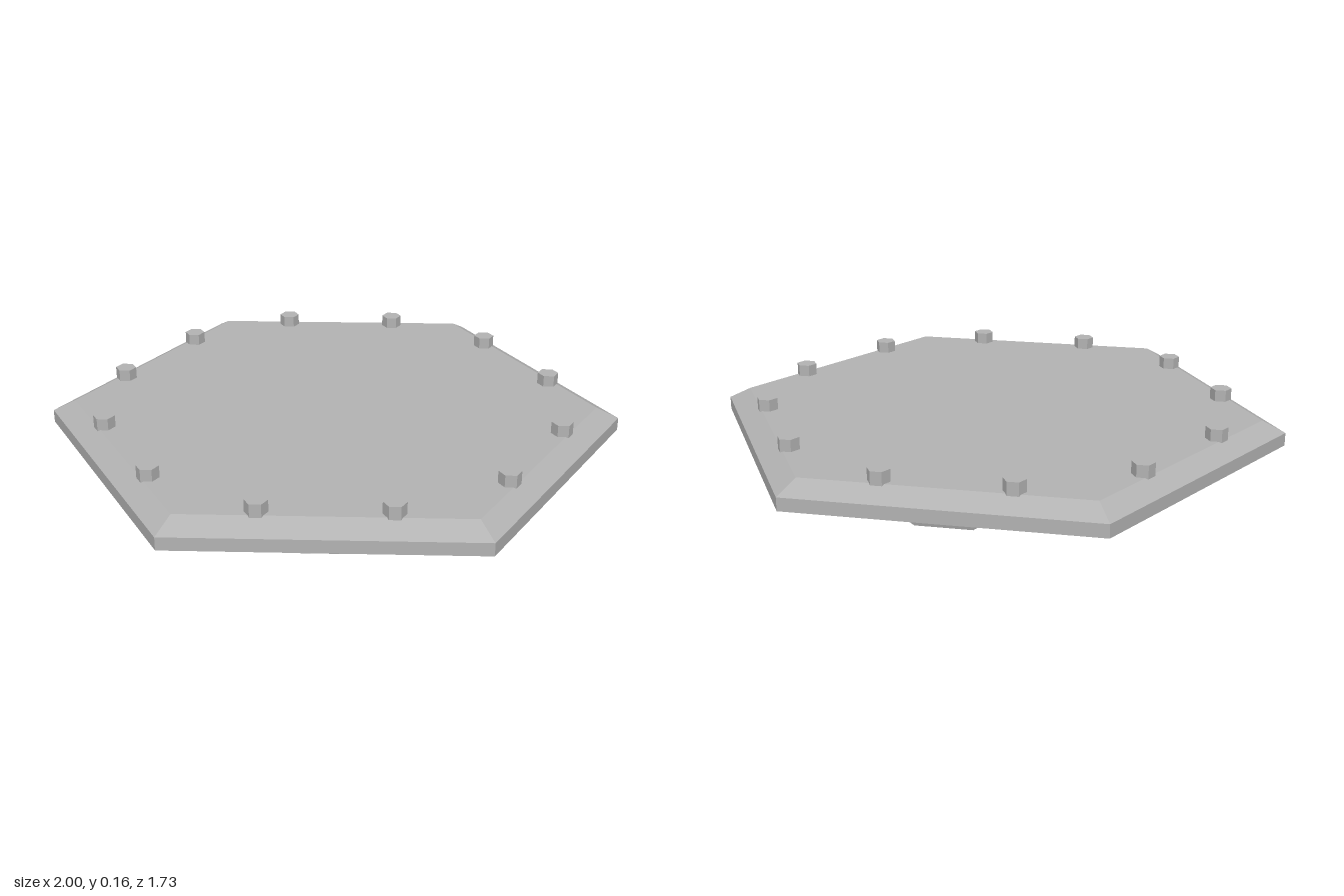
import * as THREE from 'three';

const BASE = 0.035; // underside of the plate
const TOP = 0.12; // upper face of the plate

// Solid six-sided disc turned from a bottom-to-top profile, corners on the x axis
function hexLathe(profile) {
  const points = profile.map(([r, y]) => new THREE.Vector2(r, y));
  return new THREE.LatheGeometry(points, 6, Math.PI / 6).toNonIndexed();
}

// Tapered block: x runs outward, narrower at the inner end and at the bottom
function padGeometry() {
  const geo = new THREE.BoxGeometry(1, 1, 1);
  const p = geo.attributes.position;
  for (let i = 0; i < p.count; i++) {
    const outer = p.getX(i) > 0;
    const upper = p.getY(i) > 0;
    const half = outer ? (upper ? 0.135 : 0.09) : (upper ? 0.085 : 0.05);
    const r = outer ? (upper ? 0.82 : 0.81) : (upper ? 0.55 : 0.58);
    p.setXYZ(i, r, upper ? BASE : 0, Math.sign(p.getZ(i)) * half);
  }
  geo.computeVertexNormals();
  return geo;
}

export function createModel() {
  const model = new THREE.Group();
  model.name = 'hexagonalPlate';
  const metal = new THREE.MeshStandardMaterial({ color: 0xb2b2b2, flatShading: true });
  metal.name = 'grey metal';

  const add = (name, geo) => {
    const mesh = new THREE.Mesh(geo, metal);
    mesh.name = name;
    model.add(mesh);
    return mesh;
  };

  // Main plate with bevelled upper rim
  add('plate', hexLathe([[0, BASE], [1, BASE], [1, 0.08], [0.92, TOP], [0, TOP]]));

  // Raised hexagon under the middle
  add('centreBoss', hexLathe([[0, 0.013], [0.28, 0.013], [0.295, BASE]]));

  const pad = padGeometry();
  const bolt = new THREE.CylinderGeometry(0.037, 0.037, 0.045, 6, 1, false, Math.PI / 6);
  const stud = new THREE.CylinderGeometry(0.018, 0.018, 0.025, 6, 1, false, Math.PI / 6);

  for (let i = 0; i < 12; i++) {
    // Wedge pads under the plate
    add('pad', pad).rotation.y = (i * Math.PI) / 6;

    // Bolt heads on top, smaller studs below, between the pads
    const a = ((i + 0.5) * Math.PI) / 6;
    add('bolt', bolt).position.set(0.8 * Math.cos(a), TOP + 0.0185, 0.8 * Math.sin(a));
    add('stud', stud).position.set(0.65 * Math.cos(a), BASE - 0.01, 0.65 * Math.sin(a));
  }
  return model;
}
